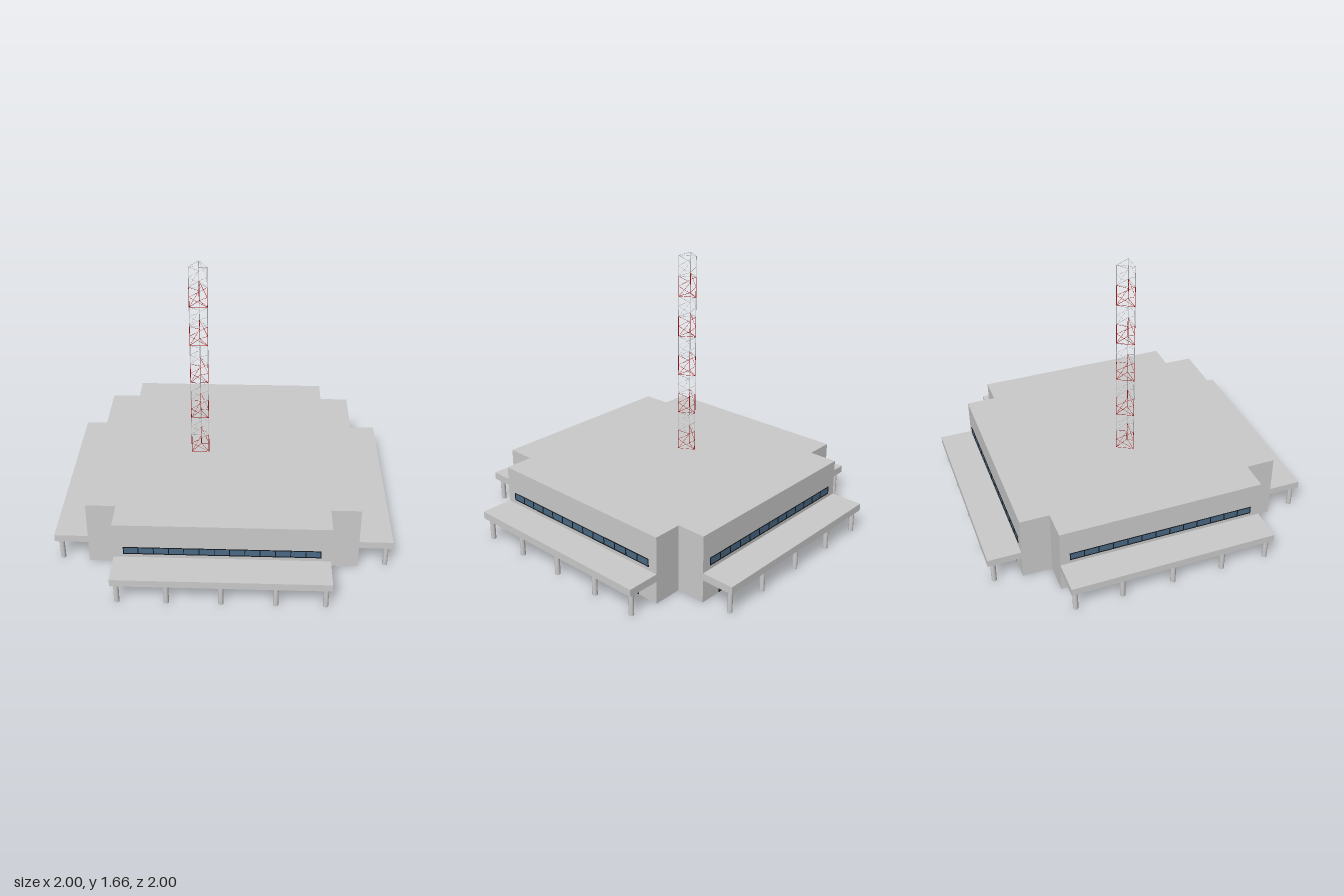
import * as THREE from 'three';

const mat = (color, side = THREE.FrontSide) => new THREE.MeshStandardMaterial({ color, side });
const wallMat = mat(0xcccccc, THREE.DoubleSide);
const grey = mat(0xcccccc);
const glassMat = mat(0x4a6a85);
const frameMat = mat(0x15181c);
const redMat = mat(0xa82020);

const W = 0.623;    // half width of each wing
const D = 0.8;      // distance of the wing walls from the centre
const H = 0.41;     // roof height

function add(parent, name, geometry, material, x = 0, y = 0, z = 0) {
  const mesh = new THREE.Mesh(geometry, material);
  mesh.name = name;
  mesh.position.set(x, y, z);
  parent.add(mesh);
  return mesh;
}

// Rectangle traced as a path, used for walls and their openings
function rect(path, x0, y0, x1, y1) {
  path.moveTo(x0, y0);
  path.lineTo(x1, y0);
  path.lineTo(x1, y1);
  path.lineTo(x0, y1);
  path.closePath();
  return path;
}

// Glazing with outer frame, mullions and an optional transom
function makeWindow(name, x0, y0, x1, y1, panes, bar, transom) {
  const g = new THREE.Group();
  g.name = name;
  const w = x1 - x0, h = y1 - y0, cx = (x0 + x1) / 2, cy = (y0 + y1) / 2;
  add(g, 'glass', new THREE.BoxGeometry(w, h, 0.003), glassMat, cx, cy, D - 0.002);
  for (let i = 0; i <= panes; i++) {
    const x = THREE.MathUtils.clamp(x0 + (w * i) / panes, x0 + bar / 2, x1 - bar / 2);
    add(g, 'mullion', new THREE.BoxGeometry(bar, h, 0.009), frameMat, x, cy, D - 0.002);
  }
  const rails = [y0 + bar / 2, y1 - bar / 2];
  if (transom) rails.push(transom);
  for (const y of rails)
    add(g, 'rail', new THREE.BoxGeometry(w, bar, 0.0085), frameMat, cx, y, D - 0.002);
  return g;
}

// One wing: pierced wall, return walls, windows, canopy and columns
function makeSide(name, groundWindows) {
  const side = new THREE.Group();
  side.name = name;

  const wall = rect(new THREE.Shape(), -W, 0, W, H);
  const strip = [-0.566, 0.207, 0.566, 0.256];
  wall.holes.push(rect(new THREE.Path(), ...strip));
  side.add(makeWindow('stripWindow', ...strip, 13, 0.005));
  for (const [x0, x1, panes] of groundWindows) {
    wall.holes.push(rect(new THREE.Path(), x0, 0.002, x1, 0.12));
    side.add(makeWindow('groundWindow', x0, 0.002, x1, 0.12, panes, 0.006, 0.094));
  }
  add(side, 'wall', new THREE.ShapeGeometry(wall), wallMat, 0, 0, D);

  for (const s of [-1, 1]) {
    const ret = add(side, 'returnWall', new THREE.PlaneGeometry(D - W, H), wallMat, s * W, H / 2, (D + W) / 2);
    ret.rotation.y = (s * Math.PI) / 2;
  }

  add(side, 'canopy', new THREE.BoxGeometry(2 * W, 0.045, 0.2), grey, 0, 0.1615, 0.9);
  for (const x of [-0.592, -0.31, 0, 0.31, 0.592])
    add(side, 'column', new THREE.CylinderGeometry(0.0155, 0.0155, 0.14, 16), grey, x, 0.07, 0.964);
  return side;
}

// Thin rod between two points
function rod(parent, name, a, b, radius, material) {
  const m = add(parent, name, new THREE.CylinderGeometry(radius, radius, a.distanceTo(b), 5), material);
  m.position.copy(a).add(b).multiplyScalar(0.5);
  m.quaternion.setFromUnitVectors(new THREE.Vector3(0, 1, 0), b.clone().sub(a).normalize());
}

// Three-legged lattice mast in alternating coloured sections
function makeMast() {
  const mast = new THREE.Group();
  mast.name = 'mast';
  const feet = [[0, -0.048], [0.053, 0.044], [-0.053, 0.044]];
  const at = (leg, y) => new THREE.Vector3(feet[leg % 3][0], y, feet[leg % 3][1]);
  const sections = 10, step = 0.125;
  for (let s = 0; s < sections; s++) {
    const section = new THREE.Group();
    section.name = 'mastSection';
    mast.add(section);
    const y = s * step, m = s % 2 ? grey : redMat;
    for (let i = 0; i < 3; i++) {
      rod(section, 'leg', at(i, y), at(i, y + step), 0.0022, m);
      rod(section, 'ring', at(i, y), at(i + 1, y), 0.0013, m);
      rod(section, 'brace', at(i, y), at(i + 1, y + step / 2), 0.001, m);
      rod(section, 'brace', at(i + 1, y + step / 2), at(i, y + step), 0.001, m);
      if (s === sections - 1) rod(section, 'ring', at(i, y + step), at(i + 1, y + step), 0.0013, m);
    }
  }
  mast.position.set(-0.163, H, 0);
  return mast;
}

export function createModel() {
  const model = new THREE.Group();
  model.name = 'building';

  // Four wings; only the front has separate entrance openings
  const entrance = [[-0.49, -0.215, 2], [-0.085, 0.085, 2], [0.215, 0.49, 2]];
  const glazed = [[-0.49, 0.49, 6]];
  ['frontSide', 'leftSide', 'backSide', 'rightSide'].forEach((name, i) => {
    const side = makeSide(name, i === 0 ? entrance : glazed);
    side.rotation.y = (i * Math.PI) / 2;
    model.add(side);
  });

  // Cross-shaped flat roof over an open interior
  const roof = new THREE.Shape([
    [W, D], [-W, D], [-W, W], [-D, W], [-D, -W], [-W, -W],
    [-W, -D], [W, -D], [W, -W], [D, -W], [D, W], [W, W],
  ].map(([x, y]) => new THREE.Vector2(x, y)));
  add(model, 'roof', new THREE.ShapeGeometry(roof), wallMat, 0, H, 0).rotation.x = -Math.PI / 2;

  model.add(makeMast());
  return model;
}
